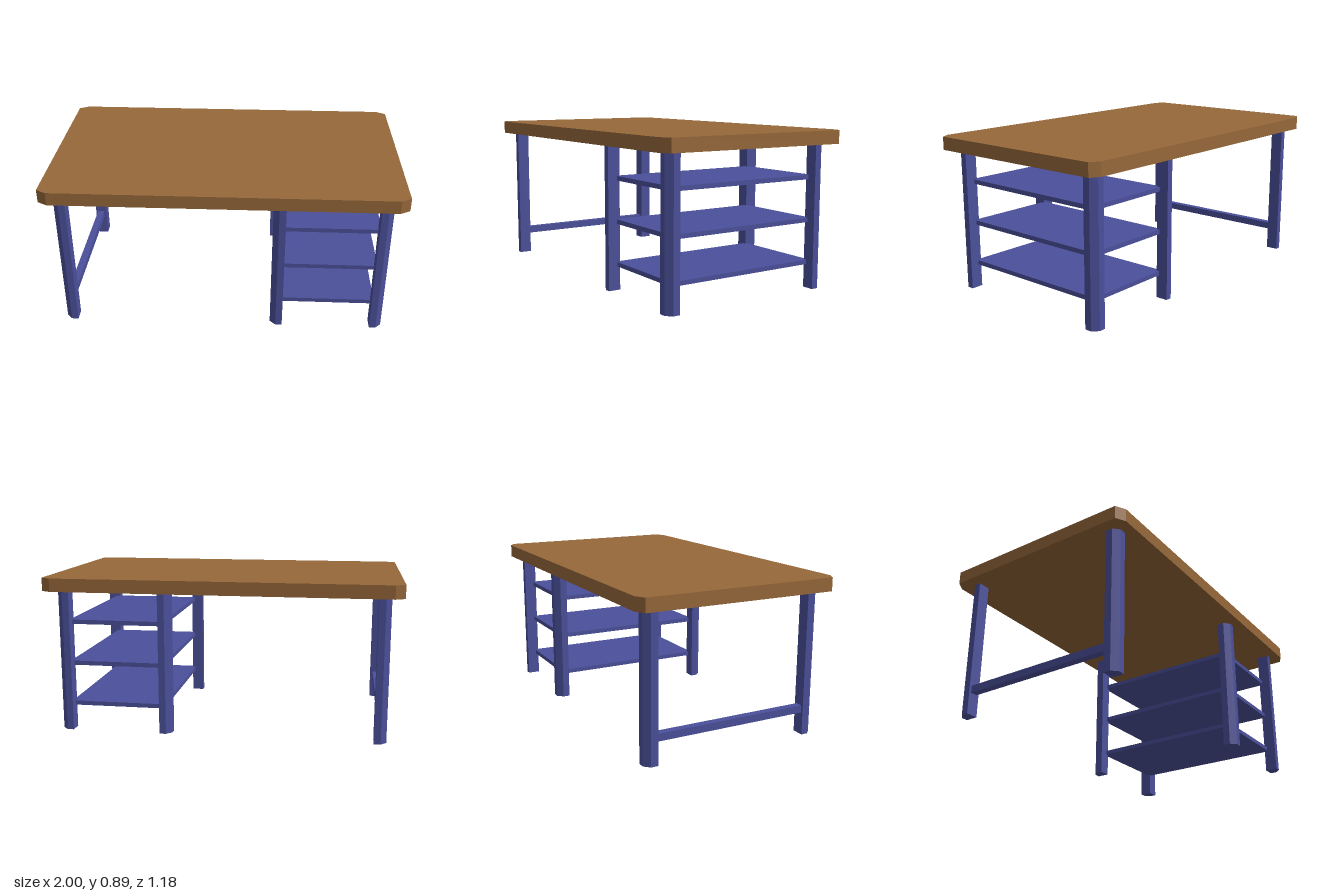
import * as THREE from 'three';

// Vertical prism: outline given in (x, z), extruded from y0 to y1
function prism(name, points, y0, y1, material) {
  const shape = new THREE.Shape(points.map(([x, z]) => new THREE.Vector2(x, -z)));
  const geometry = new THREE.ExtrudeGeometry(shape, { depth: y1 - y0, bevelEnabled: false });
  geometry.rotateX(-Math.PI / 2);
  geometry.translate(0, y0, 0);
  const mesh = new THREE.Mesh(geometry, material);
  mesh.name = name;
  return mesh;
}

function box(name, size, position, material) {
  const mesh = new THREE.Mesh(new THREE.BoxGeometry(...size), material);
  mesh.name = name;
  mesh.position.set(...position);
  return mesh;
}

export function createModel() {
  const wood = new THREE.MeshStandardMaterial({ color: 0x96683a, flatShading: true });
  const paint = new THREE.MeshStandardMaterial({ color: 0x4b509b, flatShading: true });
  const desk = new THREE.Group();
  desk.name = 'desk';

  const underside = 0.818, topY = 0.893;

  // Tabletop with cut corners
  const X = 1, Z = 0.588, cx = 0.055, cz = 0.032;
  desk.add(prism('tabletop', [
    [-X, Z - cz], [-X + cx, Z], [X - cx, Z], [X, Z - cz],
    [X, -Z + cz], [X - cx, -Z], [-X + cx, -Z], [-X, -Z + cz],
  ], underside, topY, wood));

  // Square legs, each with its outward corner cut off
  const hx = 0.035, hz = 0.036, cut = 0.032;
  const addLeg = (name, x, z, sx, sz) => {
    const outline = [
      [-hx, -hz], [hx, -hz], [hx, hz - cut], [hx - cut, hz], [-hx, hz],
    ].map(([px, pz]) => [x + sx * px, z + sz * pz]);
    desk.add(prism(name, outline, 0, underside, paint));
  };
  for (const sz of [1, -1]) {
    const end = sz > 0 ? 'front' : 'back';
    addLeg(end + 'RightLeg', -0.9, sz * 0.489, -1, sz);
    addLeg(end + 'InnerShelfLeg', 0.313, sz * 0.489, -1, sz);
    addLeg(end + 'LeftLeg', 0.896, sz * 0.489, 1, sz);
  }

  // Stretcher between the two right legs
  desk.add(box('stretcher', [0.042, 0.042, 0.94], [-0.9, 0.147, 0], paint));

  // Three shelves let into the four left legs
  for (const y of [0.147, 0.388, 0.63]) {
    desk.add(box('shelf', [0.55, 0.025, 0.94], [0.605, y, 0], paint));
  }
  return desk;
}
